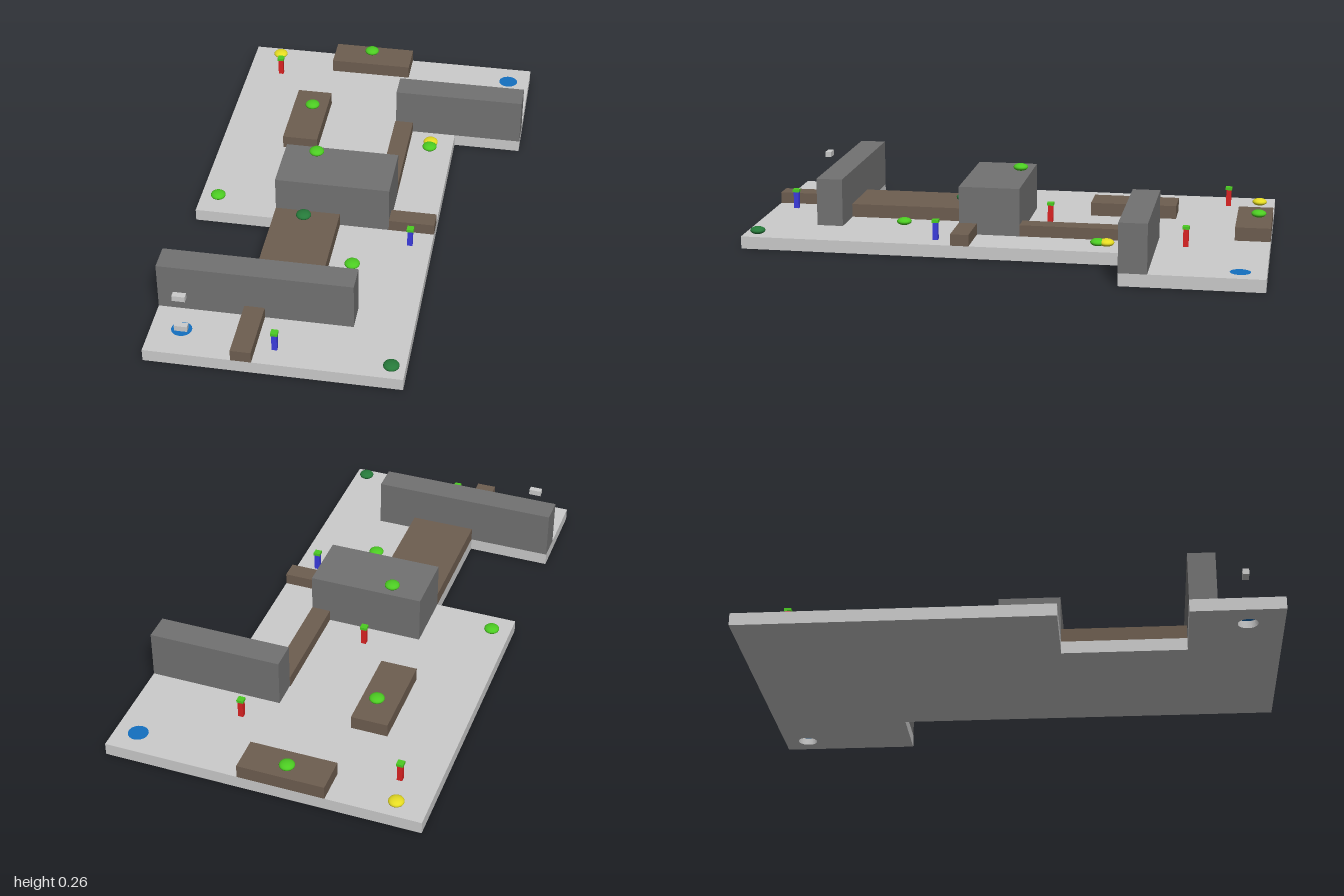
import * as THREE from 'three';

const mat = (color) => new THREE.MeshStandardMaterial({ color });
const M = {
  grey: mat(0xcccccc), wall: mat(0x727272), brown: mat(0x6e5e50), green: mat(0x4ccc22),
  darkGreen: mat(0x267a3a), yellow: mat(0xe6dc22), blue: mat(0x1470c0),
  postBlue: mat(0x3c3ce0), postRed: mat(0xdd2222),
};
const FLOOR = 0.048, WALL_TOP = 0.234, LOW = 0.092, HIGH = 0.1;
const PADS = [[0.513, -0.905], [-0.487, 0.868]];
const PAD_R = 0.038;

export function createModel() {
  const group = new THREE.Group();
  const add = (name, geometry, material) => {
    const mesh = new THREE.Mesh(geometry, material);
    mesh.name = name;
    group.add(mesh);
    return mesh;
  };
  // Box from its extents
  const box = (name, material, x0, x1, z0, z1, y0, y1) =>
    add(name, new THREE.BoxGeometry(x1 - x0, y1 - y0, z1 - z0), material)
      .position.set((x0 + x1) / 2, (y0 + y1) / 2, (z0 + z1) / 2);

  // Floor slab with a notch on each side and two round holes (shape y = -z)
  const outline = [[-0.6, 1], [0.335, 1], [0.335, -0.475], [0.6, -0.475], [0.6, -1],
    [-0.6, -1], [-0.6, 0.185], [-0.28, 0.185], [-0.28, 0.655], [-0.6, 0.655]];
  const shape = new THREE.Shape(outline.map(([x, z]) => new THREE.Vector2(x, -z)));
  for (const [x, z] of PADS) {
    shape.holes.push(new THREE.Path().absarc(x, -z, PAD_R, 0, Math.PI * 2, true));
  }
  const slab = new THREE.ExtrudeGeometry(shape, { depth: FLOOR, bevelEnabled: false, curveSegments: 16 });
  add('floorSlab', slab.rotateX(-Math.PI / 2), M.grey);

  // Round pads set into the holes
  for (const [x, z] of PADS) {
    add('roundPad', new THREE.CylinderGeometry(PAD_R, PAD_R, 0.02, 32), M.blue)
      .position.set(x, FLOOR - 0.01, z);
  }

  // Tall walls and central block
  box('frontWall', M.wall, -0.6, 0.12, 0.655, 0.757, FLOOR, WALL_TOP);
  box('backWall', M.wall, 0.09, 0.6, -0.58, -0.475, FLOOR, WALL_TOP);
  box('centralBlock', M.wall, -0.28, 0.16, -0.05, 0.185, FLOOR, WALL_TOP);

  // Low barriers and platforms: x0, x1, z0, z1, top
  for (const [x0, x1, z0, z1, top] of [
    [-0.243, 0.087, -1, -0.865, HIGH], [-0.345, -0.205, -0.62, -0.28, HIGH],
    [-0.28, -0.03, 0.185, 0.655, HIGH], [0.087, 0.16, -0.475, -0.05, LOW],
    [0.16, 0.335, 0.115, 0.185, LOW], [-0.28, -0.205, 0.757, 1, LOW],
  ]) box('lowBarrier', M.brown, x0, x1, z0, z1, FLOOR, top);

  // Flattened pickups: x, z, surface height, material
  const pill = new THREE.SphereGeometry(0.029, 24, 16).scale(1, 0.5, 1);
  for (const [x, z, y, m] of [
    [-0.487, -0.94, FLOOR, 'yellow'], [0.245, -0.395, FLOOR, 'yellow'],
    [-0.085, -0.948, HIGH, 'green'], [-0.265, -0.505, HIGH, 'green'],
    [0.245, -0.362, FLOOR, 'green'], [-0.153, -0.005, WALL_TOP, 'green'],
    [-0.53, 0.093, FLOOR, 'green'], [0.058, 0.423, FLOOR, 'green'],
    [-0.163, 0.228, HIGH, 'darkGreen'], [0.285, 0.948, FLOOR, 'darkGreen'],
  ]) add('pickup', pill, M[m]).position.set(x, y + 0.0145, z);

  // Posts with green caps, blue at the front and red at the back
  for (const [x, z] of [[-0.46, -0.815], [0.197, -0.688], [-0.085, -0.135], [0.253, 0.257], [-0.137, 0.914]]) {
    box('post', z > 0 ? M.postBlue : M.postRed, x - 0.01, x + 0.01, z - 0.01, z + 0.01, FLOOR, 0.115);
    box('postCap', M.green, x - 0.013, x + 0.013, z - 0.013, z + 0.013, 0.115, 0.126);
  }

  // Small grey blocks above the front pad
  for (const y of [FLOOR, 0.188]) box('smallBlock', M.grey, -0.512, -0.464, 0.857, 0.881, y, y + 0.022);

  return group;
}
